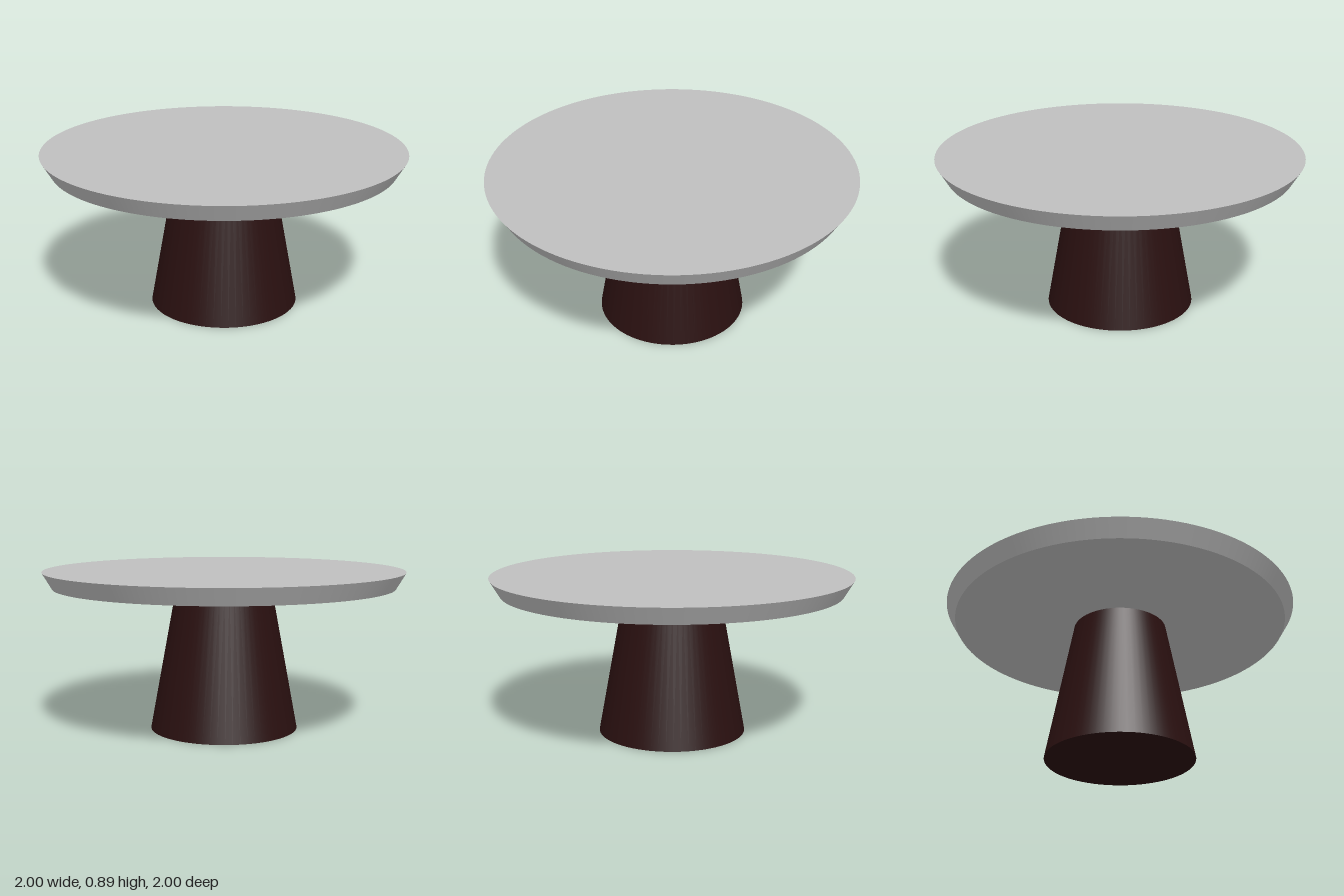
import * as THREE from 'three';

export function createModel() {
  const group = new THREE.Group();
  const stone = new THREE.MeshStandardMaterial({ color: 0xbfbfbf });
  stone.name = 'pale grey top';
  const wood = new THREE.MeshStandardMaterial({ color: 0x2a1010 });
  wood.name = 'dark brown base';

  const add = (name, geometry, material, y) => {
    const mesh = new THREE.Mesh(geometry, material);
    mesh.name = name;
    mesh.position.y = y;
    group.add(mesh);
  };

  // Round top whose edge is undercut towards the underside
  const topHeight = 0.09, baseHeight = 0.805;
  add('tabletop', new THREE.CylinderGeometry(1, 0.947, topHeight, 128), stone, baseHeight + topHeight / 2);

  // Tapered pedestal
  add('pedestal', new THREE.CylinderGeometry(0.265, 0.415, baseHeight, 64), wood, baseHeight / 2);

  return group;
}
